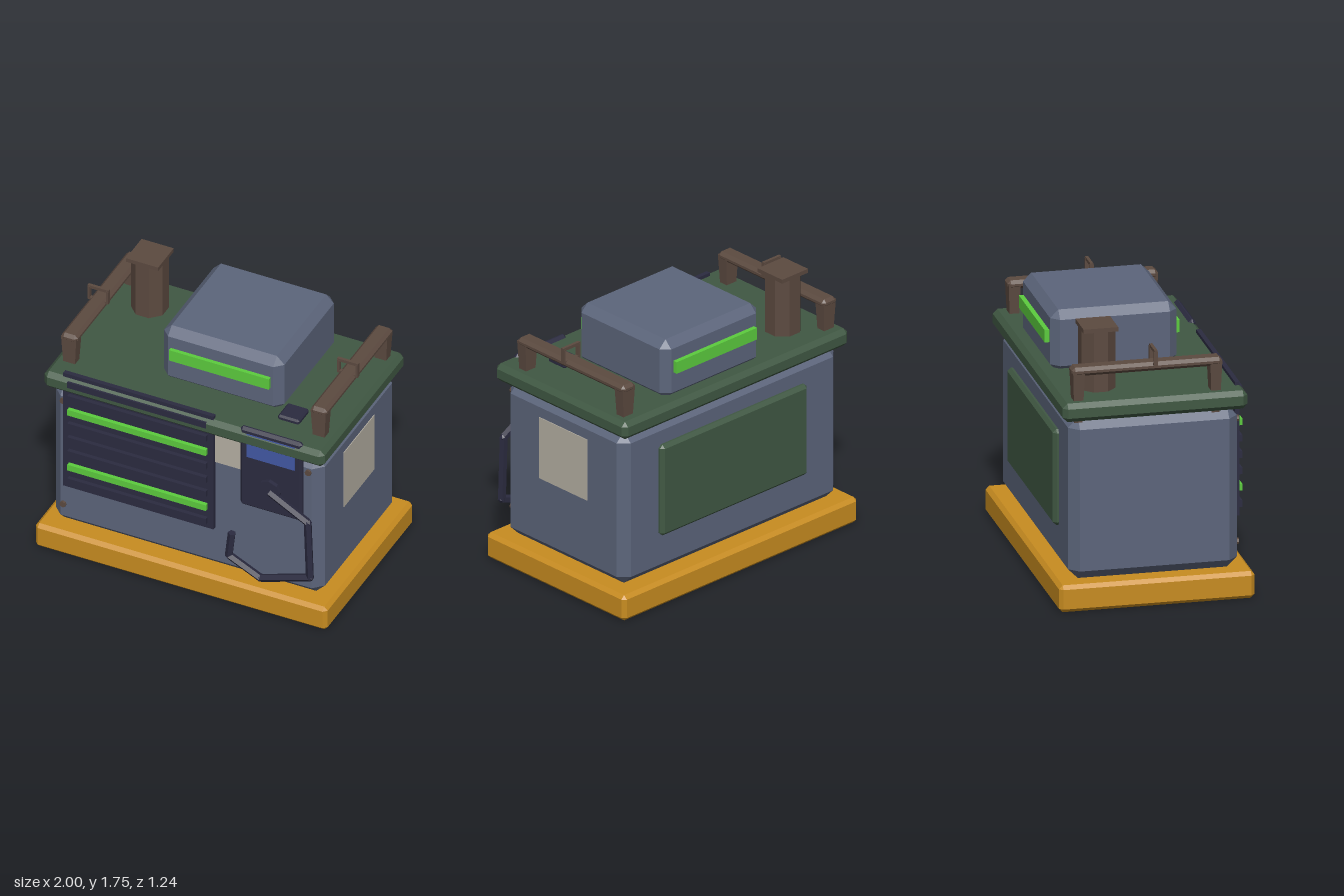
import * as THREE from 'three';
import { ConvexGeometry } from 'three/addons/geometries/ConvexGeometry.js';

const mat = (name, color) => {
  const m = new THREE.MeshStandardMaterial({ color });
  m.name = name;
  return m;
};

export function createModel() {
  const root = new THREE.Group();
  root.name = 'generator';
  const orange = mat('orange', 0xc88c20), slate = mat('slate', 0x5c657b);
  const green = mat('dark green', 0x405843), dark = mat('dark navy', 0x2b2b40);
  const lime = mat('lime', 0x5ccc3e), brown = mat('brown', 0x5c4a40);
  const beige = mat('beige', 0xb6b0a3), blue = mat('screen blue', 0x4258a4);

  const add = (name, geo, material, parent = root) => {
    const mesh = new THREE.Mesh(geo, material);
    mesh.name = name;
    parent.add(mesh);
    return mesh;
  };

  // Plain box given by its limits on each axis
  const box = (name, m, [x0, x1], [y0, y1], [z0, z1], parent) => {
    const g = new THREE.BoxGeometry(x1 - x0, y1 - y0, z1 - z0);
    g.translate((x0 + x1) / 2, (y0 + y1) / 2, (z0 + z1) / 2);
    return add(name, g, m, parent);
  };

  // Box with every edge chamfered by b
  const chamferBox = (name, m, xs, ys, zs, b, parent) => {
    const pts = [];
    for (const i of [0, 1]) for (const j of [0, 1]) for (const k of [0, 1]) {
      const p = [xs[i], ys[j], zs[k]];
      const inward = [1 - 2 * i, 1 - 2 * j, 1 - 2 * k];
      for (let keep = 0; keep < 3; keep++) {
        pts.push(new THREE.Vector3(...p.map((v, a) => (a === keep ? v : v + inward[a] * b))));
      }
    }
    return add(name, new ConvexGeometry(pts), m, parent);
  };

  // Straight rod between two points
  const rod = (name, m, a, b, r, sides, parent) => {
    const from = new THREE.Vector3(...a), to = new THREE.Vector3(...b);
    const dir = to.clone().sub(from);
    const g = new THREE.CylinderGeometry(r, r, dir.length(), sides).toNonIndexed();
    g.computeVertexNormals();
    const mesh = add(name, g, m, parent);
    mesh.position.copy(from).add(to).multiplyScalar(0.5);
    mesh.quaternion.setFromUnitVectors(new THREE.Vector3(0, 1, 0), dir.normalize());
    return mesh;
  };

  // Main housing
  chamferBox('base', orange, [-1, 1], [0, 0.175], [-0.62, 0.62], 0.024);
  chamferBox('body', slate, [-0.923, 0.923], [0.175, 1.22], [-0.535, 0.535], 0.062);
  chamferBox('lid', green, [-0.96, 0.96], [1.22, 1.34], [-0.585, 0.585], 0.03);
  chamferBox('backPanel', green, [-0.625, 0.625], [0.44, 1.065], [-0.57, -0.5], 0.022);

  // Raised hood with a light strip front and back
  chamferBox('hood', slate, [-0.29, 0.535], [1.31, 1.715], [-0.5, 0.3], 0.052);
  box('hoodLightFront', lime, [-0.22, 0.465], [1.5, 1.58], [0.28, 0.326]);
  box('hoodLightBack', lime, [-0.22, 0.465], [1.5, 1.58], [-0.53, -0.48]);

  // Louvred grille with two lit slats
  const grille = new THREE.Group();
  grille.name = 'grille';
  root.add(grille);
  box('grillePlate', dark, [-0.83, 0.2], [0.49, 1.362], [0.53, 0.56], grille);
  for (let i = 0; i < 8; i++) {
    const y = 0.553 + i * 0.1065;
    box('slat', i === 1 || i === 5 ? lime : dark, [-0.79, 0.16], [y - 0.022, y + 0.022], [0.55, 0.587], grille);
  }

  // Labels
  box('frontLabel', beige, [0.19, 0.4], [1.0, 1.21], [0.534, 0.54]);
  box('sideLabel', beige, [0.921, 0.928], [0.67, 1.09], [-0.215, 0.215]);

  // Control panel, screen and knob
  chamferBox('controlPanel', dark, [0.385, 0.81], [0.755, 1.358], [0.53, 0.575], 0.018);
  box('screen', blue, [0.435, 0.765], [1.145, 1.32], [0.573, 0.58]);
  rod('knob', dark, [0.597, 0.945, 0.56], [0.597, 0.945, 0.602], 0.075, 8);

  // Hanging cable
  const cable = new THREE.Group();
  cable.name = 'cable';
  root.add(cable);
  const path = [[0.6, 0.94], [0.865, 0.79], [0.88, 0.37], [0.54, 0.255], [0.325, 0.36], [0.345, 0.54]];
  path.forEach(([x, y], i) => {
    if (i > 0) rod('cableSegment', dark, [...path[i - 1], 0.598], [x, y, 0.598], 0.026, 5, cable);
    if (i > 0 && i < path.length - 1) {
      add('cableBend', new THREE.IcosahedronGeometry(0.026, 0), dark, cable).position.set(x, y, 0.598);
    }
  });

  // Exhaust stack with a square cap
  rod('stack', brown, [-0.655, 1.32, -0.303], [-0.655, 1.73, -0.303], 0.117, 8).rotation.y = Math.PI / 8;
  box('stackCap', brown, [-0.765, -0.545], [1.728, 1.755], [-0.413, -0.193]);

  // Lid button
  chamferBox('lidButton', dark, [0.55, 0.697], [1.33, 1.37], [0.23, 0.38], 0.012);

  // Corner bolts
  for (const x of [-0.84, 0.84]) for (const y of [0.33, 1.13]) {
    rod('bolt', brown, [x, y, 0.52], [x, y, 0.55], 0.021, 8);
  }

  // Handrails, one on each side
  for (const s of [-1, 1]) {
    const rail = new THREE.Group();
    rail.name = s > 0 ? 'leftRail' : 'rightRail';
    rail.position.x = s * 0.855;
    root.add(rail);
    chamferBox('railBar', brown, [-0.055, 0.055], [1.5, 1.556], [-0.518, 0.435], 0.02, rail);

    // Legs narrow towards the foot
    for (const z of [-0.475, 0.395]) {
      const pts = [];
      for (const [y, w, d] of [[1.535, 0.052, 0.038], [1.195, 0.032, 0.025]]) {
        for (const i of [-1, 1]) for (const k of [-1, 1]) pts.push(new THREE.Vector3(i * w, y, z + k * d));
      }
      add('railLeg', new ConvexGeometry(pts), brown, rail);
    }

    // Small hoop over the bar
    box('hoopTop', brown, [-0.072, 0.072], [1.62, 1.64], [-0.002, 0.018], rail);
    for (const x of [-0.063, 0.063]) {
      box('hoopPost', brown, [x - 0.008, x + 0.008], [1.535, 1.63], [-0.005, 0.021], rail);
    }
    box('hoopFoot', brown, [-0.063, 0.063], [1.535, 1.55], [-0.005, 0.021], rail);
  }

  return root;
}
